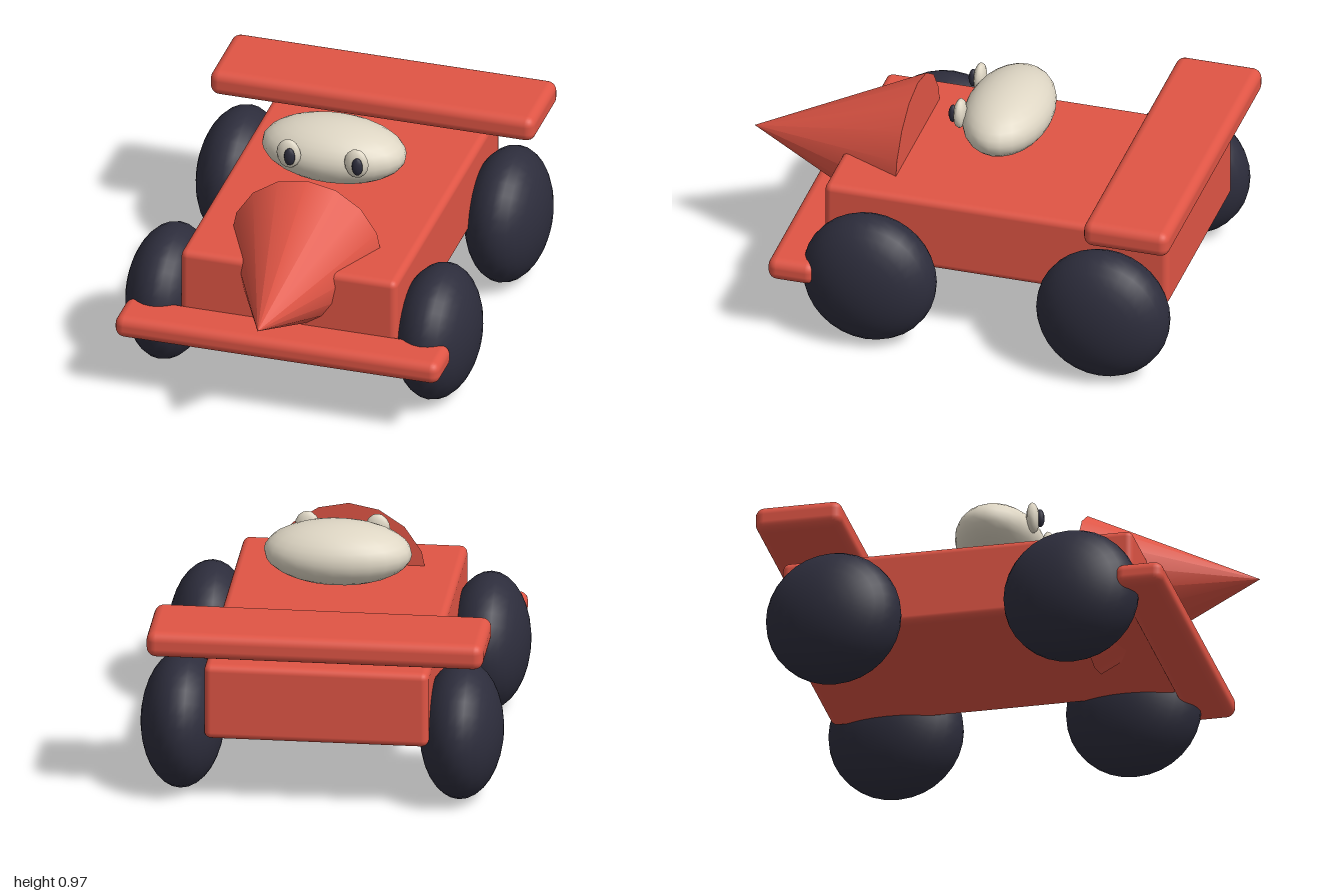
import * as THREE from 'three';
import { RoundedBoxGeometry } from 'three/addons/geometries/RoundedBoxGeometry.js';

export function createModel() {
  const paint = (name, color) => {
    const m = new THREE.MeshStandardMaterial({ color });
    m.name = name;
    return m;
  };
  const red = paint('racing red', 0xe05545);
  const rubber = paint('dark rubber', 0x2d2d3c);
  const cream = paint('cream', 0xded6c4);

  const car = new THREE.Group();
  car.name = 'racingCar';

  const add = (name, geometry, material, x, y, z) => {
    const mesh = new THREE.Mesh(geometry, material);
    mesh.name = name;
    mesh.position.set(x, y, z);
    car.add(mesh);
    return mesh;
  };
  const slab = (name, w, h, d, radius, y, z) =>
    add(name, new RoundedBoxGeometry(w, h, d, 3, radius), red, 0, y, z);
  const ellipsoid = (name, material, rx, ry, rz, x, y, z, seg = 24, rings = 16) =>
    add(name, new THREE.SphereGeometry(1, seg, rings).scale(rx, ry, rz), material, x, y, z);

  // Bodywork
  slab('body', 0.94, 0.33, 1.495, 0.03, 0.465, -0.187);
  slab('frontWing', 1.41, 0.1, 0.205, 0.04, 0.32, 0.638);
  slab('rearWing', 1.41, 0.112, 0.37, 0.04, 0.733, -0.815);

  // Nose cone pointing forward, its wide end rising above the body
  add('noseCone', new THREE.ConeGeometry(0.331, 0.708, 16).rotateX(Math.PI / 2), red, 0, 0.567, 0.646);

  // Lens-shaped wheels, axis along x
  const wheel = new THREE.SphereGeometry(1, 32, 16).rotateZ(Math.PI / 2).scale(0.174, 0.291, 0.287);
  for (const [end, z] of [['front', 0.327], ['rear', -0.687]]) {
    for (const [side, s] of [['Left', 1], ['Right', -1]]) {
      add(`${end}${side}Wheel`, wheel, rubber, s * 0.584, 0.295, z);
    }
  }

  // Driver's head with two eyes; both pupils glance slightly to one side
  ellipsoid('driverHead', cream, 0.31, 0.133, 0.184, 0, 0.837, -0.106);
  for (const [side, s] of [['left', 1], ['right', -1]]) {
    ellipsoid(`${side}Eye`, cream, 0.053, 0.066, 0.027, s * 0.147, 0.879, 0.064, 10, 8);
    ellipsoid(`${side}Pupil`, rubber, 0.024, 0.04, 0.018, s * 0.147 + 0.012, 0.88, 0.092, 10, 8);
  }

  return car;
}
